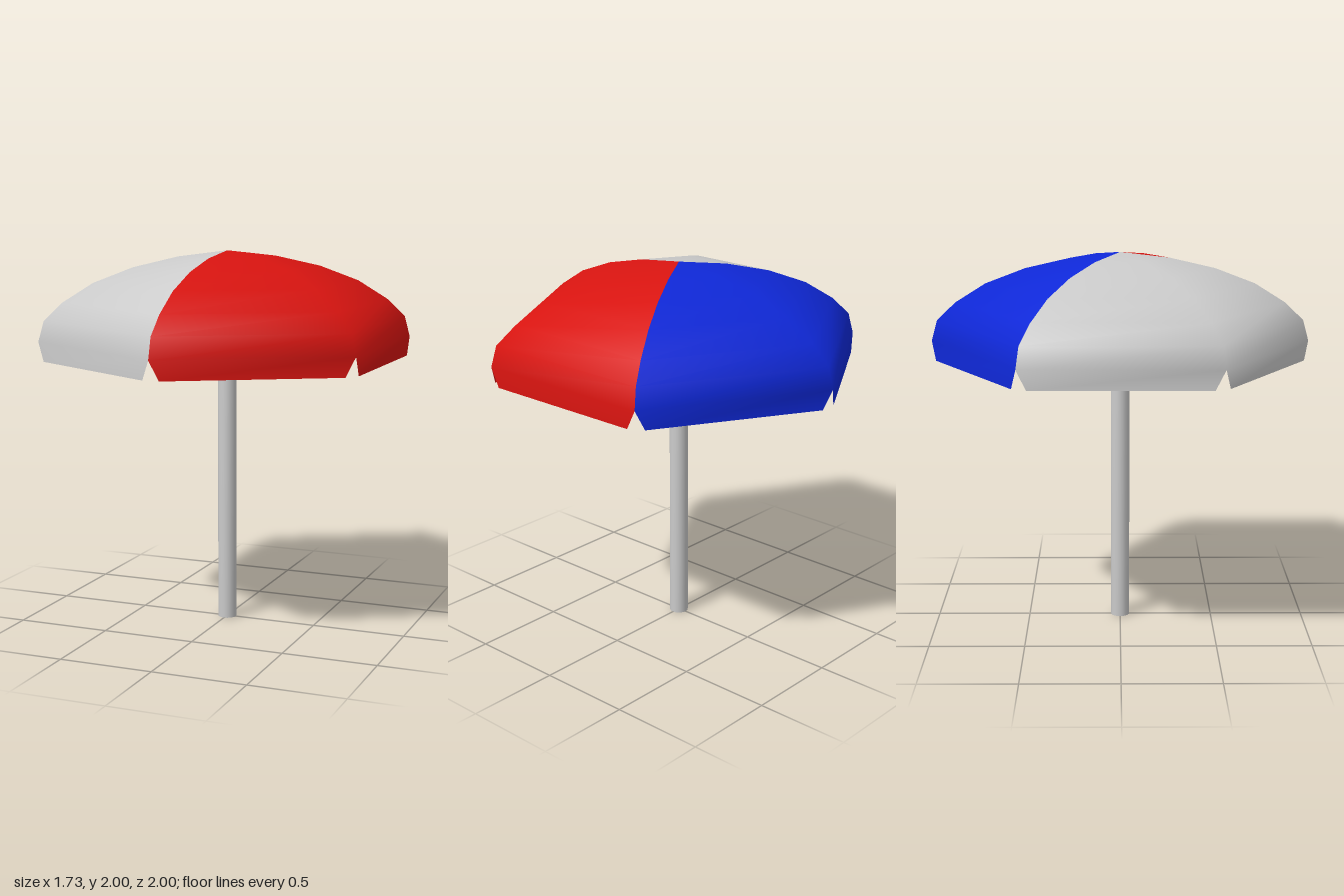
import * as THREE from 'three';

// Canopy rib, from just below the apex out to the rim: [radius, height]
const RIB = [[0.26, 1.97], [0.5, 1.915], [0.71, 1.835], [0.87, 1.735], [0.97, 1.64], [1, 1.53]];
const HEM = 1.43;    // bottom of the hanging flaps
const INSET = 0.05;  // flap taper, leaves a notch at each corner

// One coloured third of the canopy: two flat-edged panels with their flaps
function createSection(startDeg) {
  const pos = [0, 2, 0];
  const index = [];
  const corner = (r, i) => {
    const a = THREE.MathUtils.degToRad(startDeg + i * 60);
    return new THREE.Vector3(Math.sin(a) * r, 0, Math.cos(a) * r);
  };
  for (const [r, y] of RIB) {
    for (let i = 0; i < 3; i++) {
      const p = corner(r, i);
      pos.push(p.x, y, p.z);
    }
  }
  const at = (row, i) => 1 + row * 3 + i;
  const last = RIB.length - 1;
  for (let i = 0; i < 2; i++) {
    index.push(0, at(0, i), at(0, i + 1));
    for (let k = 0; k < last; k++) {
      const a = at(k + 1, i), b = at(k + 1, i + 1), c = at(k, i + 1), d = at(k, i);
      index.push(a, b, c, a, c, d);
    }
    // Hanging flap
    const left = corner(1, i), right = corner(1, i + 1);
    const n = pos.length / 3;
    for (const t of [INSET, 1 - INSET]) {
      const p = left.clone().lerp(right, t);
      pos.push(p.x, HEM, p.z);
    }
    index.push(n, n + 1, at(last, i + 1), n, at(last, i + 1), at(last, i));
  }
  const geo = new THREE.BufferGeometry();
  geo.setAttribute('position', new THREE.Float32BufferAttribute(pos, 3));
  geo.setIndex(index);
  geo.computeVertexNormals();
  return geo;
}

export function createModel() {
  const group = new THREE.Group();
  group.name = 'parasol';

  // Canopy
  const canopy = new THREE.Group();
  canopy.name = 'canopy';
  const sections = [['redSection', 0xd81410, 0], ['blueSection', 0x0f28d8, 120], ['greySection', 0xcccccc, 240]];
  for (const [name, color, start] of sections) {
    const mesh = new THREE.Mesh(
      createSection(start),
      new THREE.MeshStandardMaterial({ color, side: THREE.DoubleSide })
    );
    mesh.name = name;
    canopy.add(mesh);
  }
  group.add(canopy);

  // Pole with a pointed tip that meets the canopy apex
  const profile = [[0, 0], [0.05, 0], [0.05, 1.76], [0, 1.99]].map(([x, y]) => new THREE.Vector2(x, y));
  const pole = new THREE.Mesh(
    new THREE.LatheGeometry(profile, 20),
    new THREE.MeshStandardMaterial({ color: 0xcccccc })
  );
  pole.name = 'pole';
  group.add(pole);

  return group;
}
